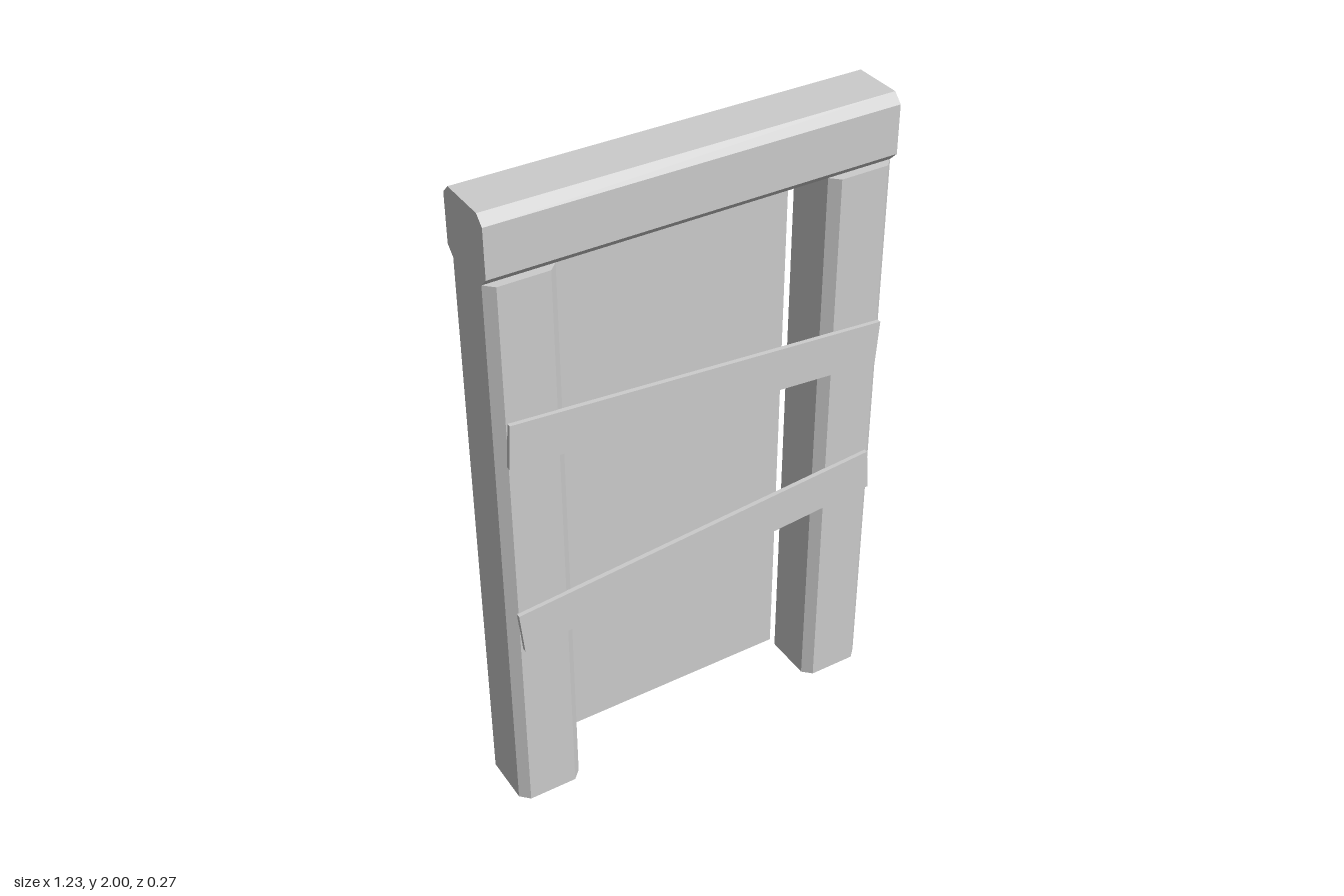
import * as THREE from 'three';

const grey = new THREE.MeshStandardMaterial({ color: 0xcccccc });
grey.name = 'plain grey';

// Beam with four chamfered long edges, extruded along +z from 0 to length
function chamferedBeam(w, h, length, c) {
  const x = w / 2, y = h / 2;
  const shape = new THREE.Shape([
    [-x + c, -y], [x - c, -y], [x, -y + c], [x, y - c],
    [x - c, y], [-x + c, y], [-x, y - c], [-x, -y + c],
  ].map(([a, b]) => new THREE.Vector2(a, b)));
  return new THREE.ExtrudeGeometry(shape, { depth: length, bevelEnabled: false });
}

export function createModel() {
  const group = new THREE.Group();
  group.name = 'boardedDoorway';
  const add = (name, geometry, x, y, z) => {
    const mesh = new THREE.Mesh(geometry, grey);
    mesh.name = name;
    mesh.position.set(x, y, z);
    group.add(mesh);
    return mesh;
  };

  const frameDepth = 0.208, frameZ = 0.02, chamfer = 0.027;

  // Upright posts
  for (const [side, name] of [[1, 'leftPost'], [-1, 'rightPost']]) {
    const post = chamferedBeam(0.205, frameDepth, 1.8, chamfer);
    post.rotateX(-Math.PI / 2);
    add(name, post, side * 0.5145, 0, frameZ);
  }

  // Lintel across the top
  const lintel = chamferedBeam(frameDepth, 0.2, 1.234, chamfer);
  lintel.translate(0, 0, -0.617);
  lintel.rotateY(Math.PI / 2);
  add('lintel', lintel, 0, 1.9, frameZ);

  // Door panel behind the frame
  add('doorPanel', new THREE.BoxGeometry(0.824, 1.8, 0.053), 0, 0.9, -0.1105);

  // Crooked planks nailed across the front
  for (const [name, y, slope] of [['upperPlank', 1.28, -0.07], ['lowerPlank', 0.728, 0.09]]) {
    const plank = add(name, new THREE.BoxGeometry(1.183, 0.136, 0.014), 0, y, 0.13);
    plank.rotation.z = slope;
  }

  return group;
}
